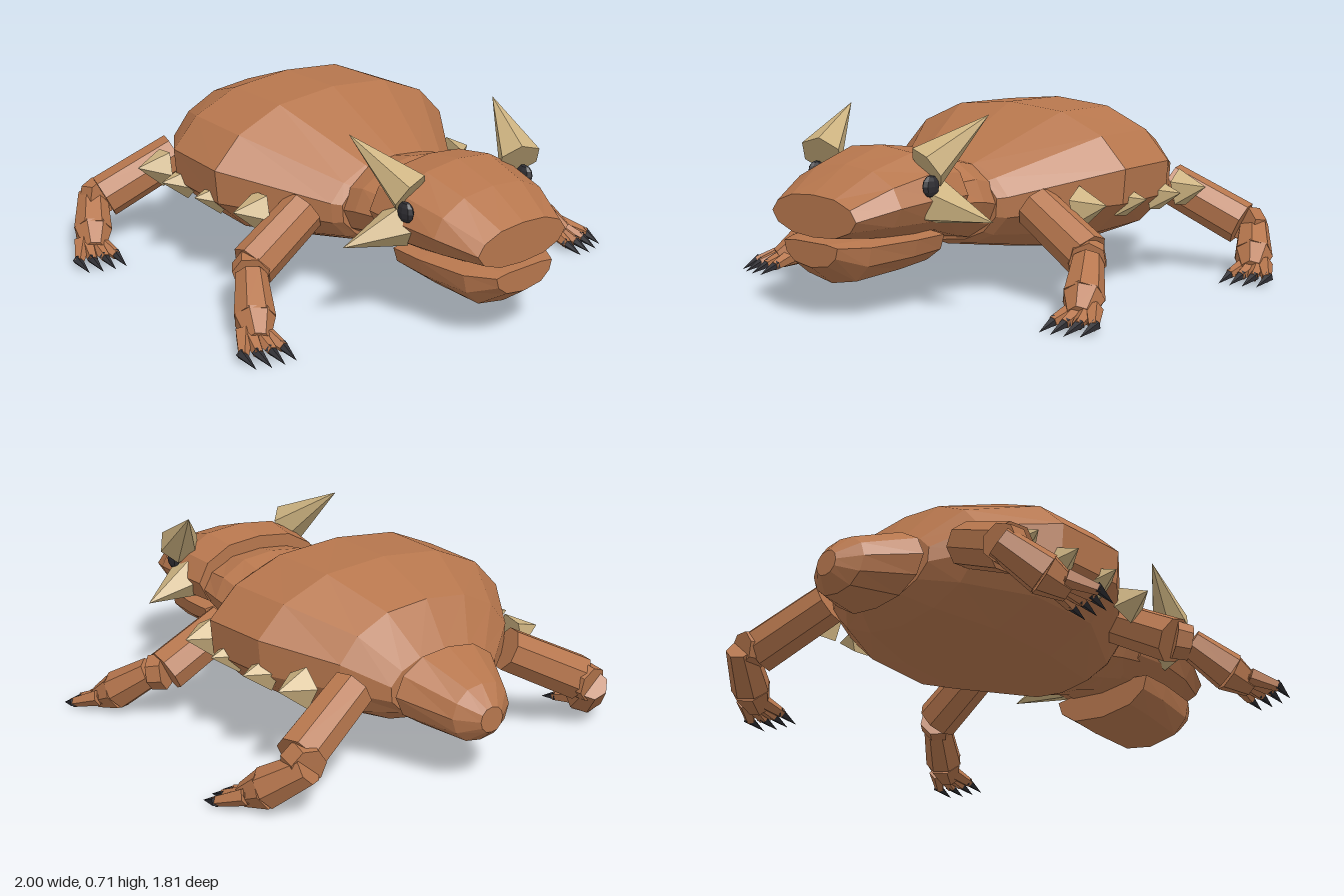
import * as THREE from 'three';

const hide = new THREE.MeshStandardMaterial({ color: 0xb6764d });
hide.name = 'brownHide';
const bone = new THREE.MeshStandardMaterial({ color: 0xccb280 });
bone.name = 'tanHorn';
const dark = new THREE.MeshStandardMaterial({ color: 0x2f2e33 });
dark.name = 'darkClaw';

// half cross-sections, from top to bottom: [z / half width, height from 0 to 1]
const shell = [[0, 1], [0.46, 0.96], [0.8, 0.82], [1, 0.62], [0.98, 0.39], [0.76, 0.18], [0.42, 0.05], [0, 0]];
const oval = [[0, 1], [0.5, 0.95], [0.86, 0.76], [1, 0.5], [0.86, 0.24], [0.5, 0.05], [0, 0]];
const jawShape = [[0, 1], [0.6, 1], [1, 0.92], [0.92, 0.5], [0.62, 0.14], [0, 0]];

function add(group, name, geometry, material) {
  const flat = geometry.index ? geometry.toNonIndexed() : geometry;
  flat.computeVertexNormals();
  const mesh = new THREE.Mesh(flat, material);
  mesh.name = name;
  group.add(mesh);
  return mesh;
}

// closed loft along x through sections [x, half width, top, bottom]
function loft(profile, sections) {
  const half = profile.slice(1, -1).reverse().map(([z, y]) => [-z, y]);
  const outline = [...profile, ...half];
  const n = outline.length;
  const pos = [];
  const index = [];
  for (const [x, w, top, bottom] of sections) {
    for (const [z, y] of outline) pos.push(x, bottom + y * (top - bottom), z * w);
  }
  const last = sections.length - 1;
  for (const s of [sections[0], sections[last]]) pos.push(s[0], (s[2] + s[3]) / 2, 0);
  const back = n * sections.length;
  for (let i = 0; i < n; i++) {
    const j = (i + 1) % n;
    for (let k = 0; k < last; k++) {
      const a = k * n + i, b = k * n + j;
      index.push(a, b, b + n, a, b + n, a + n);
    }
    index.push(back, j, i, back + 1, last * n + i, last * n + j);
  }
  const g = new THREE.BufferGeometry();
  g.setAttribute('position', new THREE.Float32BufferAttribute(pos, 3));
  g.setIndex(index);
  return g;
}

// tapered prism between two points; a zero end radius makes a spike
function taper(from, to, r0, r1, sides) {
  const a = new THREE.Vector3(...from), b = new THREE.Vector3(...to);
  const dir = b.clone().sub(a);
  const g = r1 > 0
    ? new THREE.CylinderGeometry(r1, r0, dir.length(), sides)
    : new THREE.ConeGeometry(r0, dir.length(), sides);
  g.applyQuaternion(new THREE.Quaternion().setFromUnitVectors(new THREE.Vector3(0, 1, 0), dir.normalize()));
  const mid = a.add(b).multiplyScalar(0.5);
  return g.translate(mid.x, mid.y, mid.z);
}

// points are given for the +z side; side = -1 mirrors them
const flip = (p, side) => [p[0], p[1], p[2] * side];

function leg(name, side, hip, knee, footX) {
  const g = new THREE.Group();
  g.name = name;
  const part = (label, a, b, r0, r1, sides, material = hide) =>
    add(g, label, taper(flip(a, side), flip(b, side), r0, r1, sides), material);
  part('upperLeg', hip, knee, 0.085, 0.09, 8);
  const shin = [footX - 0.21, 0.2, 0.66];
  const ankle = [footX - 0.08, 0.1, 0.745];
  const palm = [footX, 0.055, 0.79];
  part('kneeJoint', knee, shin, 0.075, 0.07, 7);
  part('lowerLeg', shin, ankle, 0.06, 0.078, 7);
  part('foot', ankle, palm, 0.078, 0.045, 7);
  // four toes, each with a claw
  for (let i = 0; i < 4; i++) {
    const z = 0.735 + i * 0.05;
    const x = footX + [0.075, 0.075, 0.065, 0.04][i];
    const root = [footX - 0.05, 0.075, 0.75 + i * 0.022];
    const tip = [x, 0.04, z];
    part('toe', root, tip, 0.034, 0.02, 5);
    part('claw', [x - 0.015, 0.045, z], [x + 0.075, 0.015, z], 0.021, 0, 5, dark);
  }
  return g;
}

export function createModel() {
  const model = new THREE.Group();
  model.name = 'hornedReptile';

  add(model, 'body', loft(shell, [
    [-0.73, 0.24, 0.46, 0.21], [-0.62, 0.385, 0.62, 0.165], [-0.36, 0.56, 0.715, 0.142],
    [-0.06, 0.58, 0.715, 0.132], [0.3, 0.31, 0.53, 0.19], [0.33, 0.28, 0.51, 0.21],
  ]), hide);
  add(model, 'tail', loft(oval, [
    [-1, 0.05, 0.325, 0.23], [-0.94, 0.13, 0.395, 0.18], [-0.75, 0.235, 0.475, 0.19],
  ]), hide);
  add(model, 'neck', loft(oval, [
    [0.28, 0.27, 0.52, 0.21], [0.4, 0.28, 0.547, 0.235], [0.54, 0.27, 0.525, 0.28],
  ]), hide);
  add(model, 'head', loft(oval, [
    [0.5, 0.295, 0.585, 0.275], [0.65, 0.315, 0.605, 0.27], [0.83, 0.285, 0.55, 0.285], [0.985, 0.22, 0.457, 0.305],
  ]), hide);
  add(model, 'lowerJaw', loft(jawShape, [
    [0.565, 0.235, 0.3, 0.165], [0.7, 0.235, 0.298, 0.148], [0.9, 0.205, 0.295, 0.128], [1, 0.14, 0.29, 0.2],
  ]), hide);

  for (const side of [1, -1]) {
    const label = side > 0 ? 'left' : 'right';

    // horns and eye
    add(model, label + 'UpperHorn', taper(flip([0.695, 0.55, 0.275], side), flip([0.46, 0.725, 0.36], side), 0.085, 0, 6), bone);
    add(model, label + 'CheekHorn', taper(flip([0.64, 0.415, 0.27], side), flip([0.58, 0.36, 0.49], side), 0.085, 0, 5), bone);
    const eye = new THREE.SphereGeometry(0.04, 8, 6).scale(1, 1, 0.5).translate(0.7, 0.485, 0.3 * side);
    add(model, label + 'Eye', eye, dark);

    // row of flank spikes
    [[-0.54, 0.49], [-0.34, 0.51], [-0.12, 0.51], [0.1, 0.49]].forEach(([x, z], i) => {
      const r = i % 3 === 0 ? 0.08 : 0.07;
      add(model, label + 'FlankSpike', taper(flip([x, 0.36, z], side), flip([x - 0.015, 0.375, z + 0.115], side), r, 0, 5), bone);
    });

    model.add(leg(label + 'FrontLeg', side, [0.2, 0.36, 0.36], [0.22, 0.21, 0.62], 0.475));
    model.add(leg(label + 'RearLeg', side, [-0.655, 0.36, 0.36], [-0.75, 0.21, 0.65], -0.615));
  }
  return model;
}
